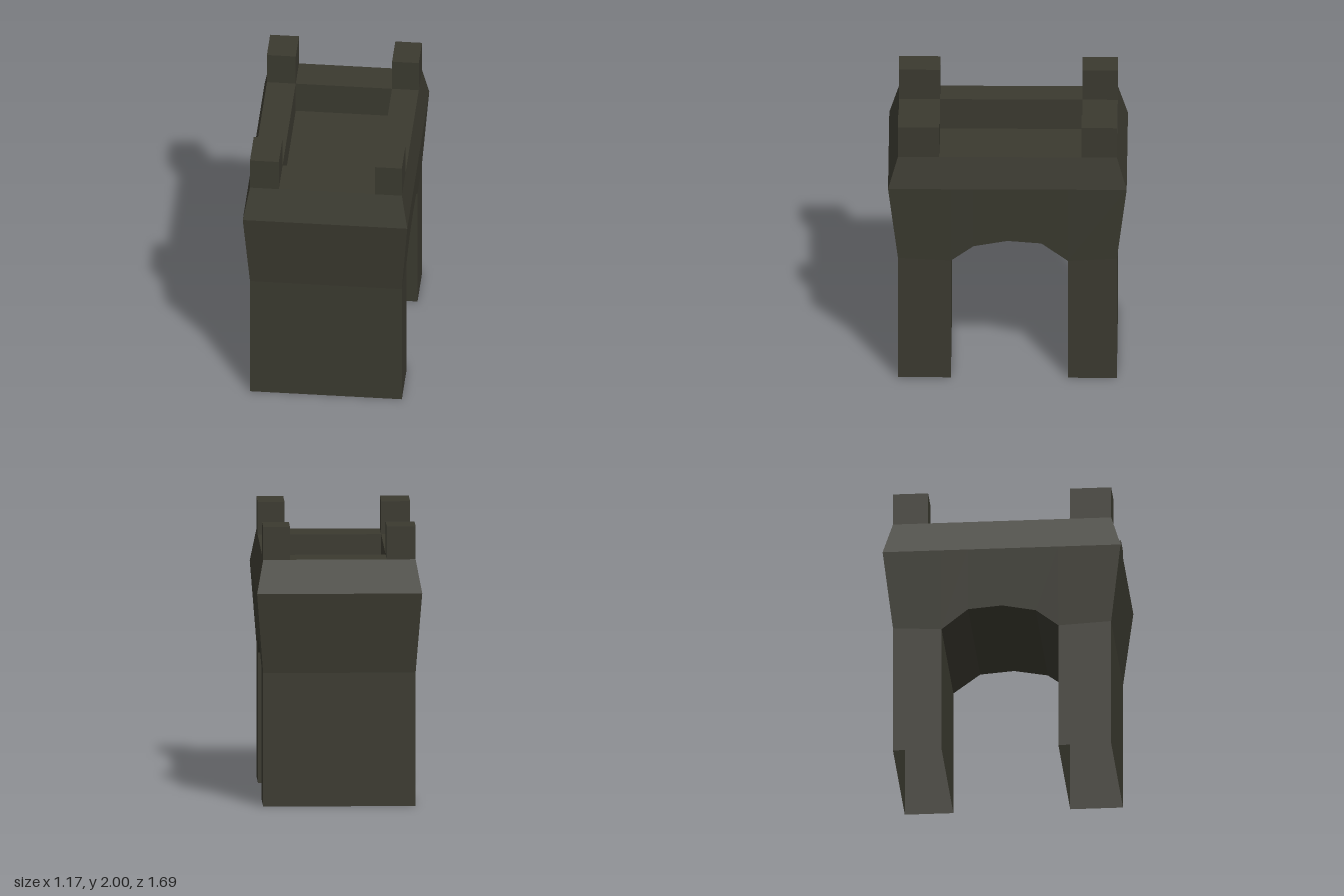
import * as THREE from 'three';

const stone = new THREE.MeshStandardMaterial({ color: 0x3a392f, side: THREE.DoubleSide });
stone.name = 'darkStone';

// Quads between two matching rows of points, flat shaded
function strip(name, a, b) {
  const pos = [];
  for (let i = 0; i < a.length - 1; i++) {
    for (const p of [a[i], a[i + 1], b[i + 1], a[i], b[i + 1], b[i]]) pos.push(...p);
  }
  const geo = new THREE.BufferGeometry();
  geo.setAttribute('position', new THREE.Float32BufferAttribute(pos, 3));
  geo.computeVertexNormals();
  const mesh = new THREE.Mesh(geo, stone);
  mesh.name = name;
  return mesh;
}

// Closed rectangle of corners, counter-clockwise from above
function ring(y, x0, x1, z0, z1) {
  return [[x0, y, z1], [x1, y, z1], [x1, y, z0], [x0, y, z0], [x0, y, z1]];
}

export function createModel() {
  const group = new THREE.Group();
  group.name = 'archedTower';

  const W = 0.54, D = 0.775, WB = 0.585, DB = 0.845;        // half sizes, straight and bulged
  const Y1 = 0.955, Y2 = 1.53, Y3 = 1.765, TOP = 2;         // wall break heights
  const IX0 = -0.335, IX1 = 0.35, IZ0 = -0.525, IZ1 = 0.483; // inner edge of the parapet
  const arch = [[0.4, 0.935], [0.24, 1.055], [0, 1.1], [-0.24, 1.08], [-0.43, 0.935]]; // z, y
  const halfX = (y) => W + (WB - W) * Math.max(0, (y - Y1) / (Y2 - Y1));

  // Front and back walls
  for (const s of [1, -1]) {
    const row = (x, y, z) => [[-s * x, y, s * z], [s * x, y, s * z]];
    const name = s > 0 ? 'front' : 'back';
    group.add(strip(name + 'LowerWall', row(W, 0, D), row(W, Y1, D)));
    group.add(strip(name + 'FlaredWall', row(W, Y1, D), row(WB, Y2, DB)));
  }

  // Side walls: two legs each and the flared panel above the arch
  for (const s of [1, -1]) {
    const row = (pts) => {
      const r = pts.map(([z, y]) => [s * halfX(y), y, z]);
      return s > 0 ? r : r.reverse();
    };
    const name = s > 0 ? 'left' : 'right';
    const [a, b] = [arch[0], arch[4]];
    group.add(strip(name + 'FrontLeg', row([[D, 0], [a[0], 0]]), row([[D, Y1], a])));
    group.add(strip(name + 'BackLeg', row([[b[0], 0], [-D, 0]]), row([b, [-D, Y1]])));
    group.add(strip(name + 'ArchWall',
      row([[D, Y1], ...arch, [-D, Y1]]),
      row([[DB, Y2], ...arch.map(([z]) => [z, Y2]), [-DB, Y2]])));
  }

  // Inside of the archway
  const path = [[arch[0][0], 0], ...arch, [arch[4][0], 0]];
  group.add(strip('archway',
    path.map(([z, y]) => [-halfX(y), y, z]),
    path.map(([z, y]) => [halfX(y), y, z])));

  // Sloped parapet, its rim, and the sunken roof
  const rim = ring(Y3, -W, W, -D, D);
  const inner = ring(Y3, IX0, IX1, IZ0, IZ1);
  const floor = ring(Y2, IX0, IX1, IZ0, IZ1);
  group.add(strip('parapetSlope', ring(Y2, -WB, WB, -DB, DB), rim));
  group.add(strip('parapetRim', rim, inner));
  group.add(strip('parapetInside', inner, floor));
  group.add(strip('roofFloor', [floor[0], floor[1]], [floor[3], floor[2]]));

  // Corner battlements
  for (const [x0, x1] of [[-W, IX0], [IX1, W]]) {
    for (const [z0, z1] of [[-D, IZ0], [IZ1, D]]) {
      const m = new THREE.Mesh(new THREE.BoxGeometry(x1 - x0, TOP - Y3, z1 - z0), stone);
      m.position.set((x0 + x1) / 2, (TOP + Y3) / 2, (z0 + z1) / 2);
      m.name = 'cornerBattlement';
      group.add(m);
    }
  }
  return group;
}
